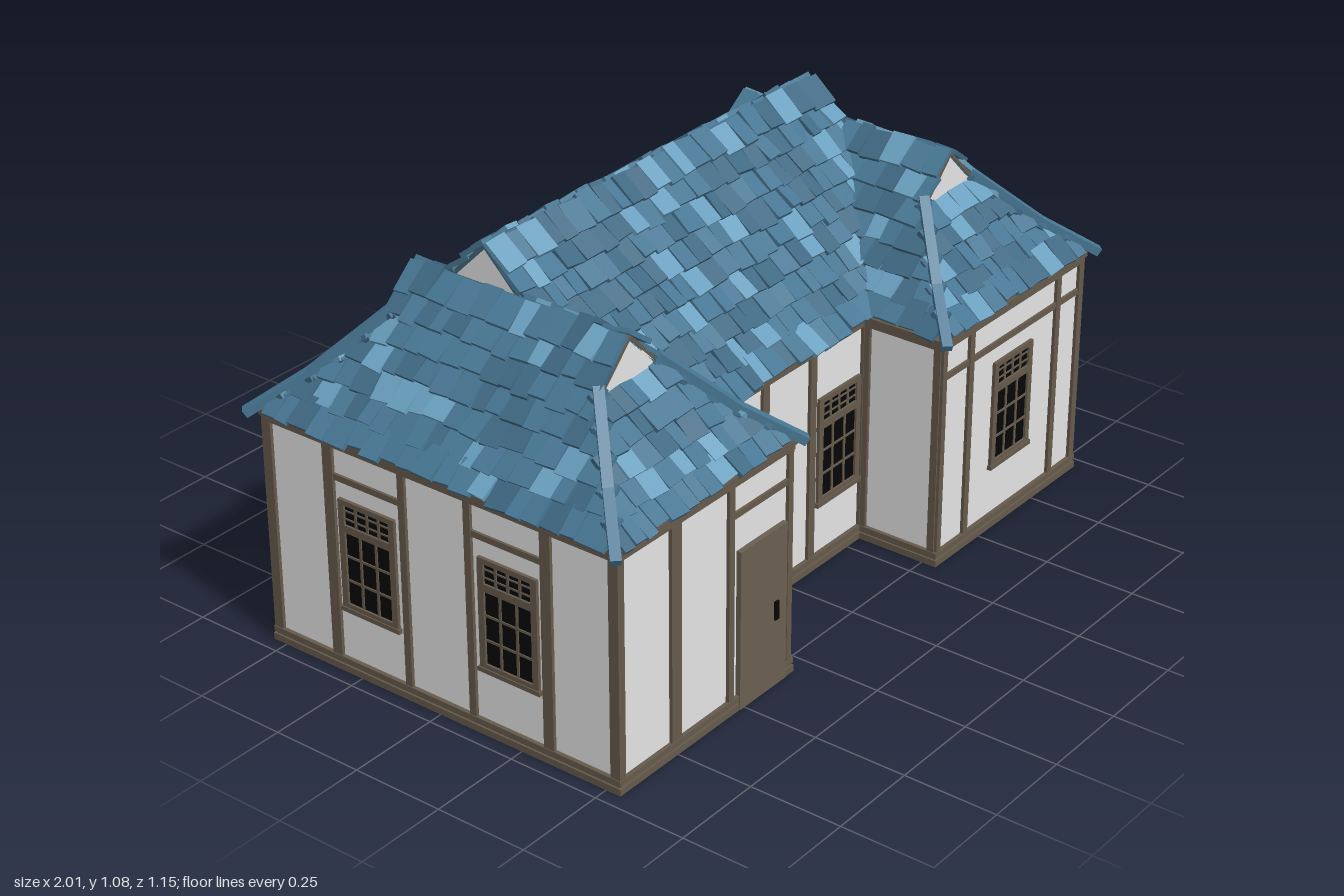
import * as THREE from 'three';
import { mergeGeometries } from 'three/addons/utils/BufferGeometryUtils.js';

const mat = (name, color) => Object.assign(new THREE.MeshStandardMaterial({ color }), { name });
const M = {
  plaster: mat('plaster', 0xe4e4e4),
  timber: mat('timber', 0x665b4c),
  door: mat('door wood', 0x6a6051),
  glass: mat('dark glass', 0x060606),
  tileMid: mat('blue tile', 0x477693),
  tileLight: mat('light blue tile', 0x699fbe),
  tileDark: mat('dark blue tile', 0x3e6882),
};

let seed = 7;
const rnd = () => (seed = (seed * 16807) % 2147483647) / 2147483647;
const jit = (a) => (rnd() - 0.5) * 2 * a;

function addMesh(parent, geo, material, name) {
  const m = new THREE.Mesh(geo, material);
  m.name = name;
  parent.add(m);
  return m;
}

// Box with its centre, size and optional lean in the wall plane
function bar(x, y, w, h, d, lean = 0, z = 0) {
  return new THREE.BoxGeometry(w, h, d).rotateZ(lean).translate(x, y, z);
}

// Bar between two points of a wall
function brace(x0, y0, x1, y1, w, d) {
  const len = Math.hypot(x1 - x0, y1 - y0);
  return bar((x0 + x1) / 2, (y0 + y1) / 2, w, len, d, Math.atan2(x0 - x1, y1 - y0));
}

// U-shaped plan, counter-clockwise, grown outward by o; shape y is -z
function plan(o, Type = THREE.Shape) {
  const X = 0.95 + o, Z = 0.53 + o, xi = 0.315 - o, zi = 0.295 + o;
  return new Type([[-X, Z], [-X, -Z], [-xi, -Z], [-xi, -zi], [xi, -zi], [xi, -Z], [X, -Z], [X, Z]]
    .map(([x, y]) => new THREE.Vector2(x, y)));
}

function planSlab(o, y0, y1, hollow) {
  const s = plan(o);
  if (hollow) s.holes.push(plan(-0.012, THREE.Path));
  return new THREE.ExtrudeGeometry(s, { depth: y1 - y0, bevelEnabled: false }).rotateX(-Math.PI / 2).translate(0, y0, 0);
}

// Group standing on a wall surface, local x along the wall and z outward
function wallFace(parent, name, x, z, rot) {
  const g = new THREE.Group();
  g.name = name;
  g.position.set(x, 0, z);
  g.rotation.y = rot;
  parent.add(g);
  return g;
}

const post = (u, w, y0 = 0.03, y1 = 0.615) => bar(u, (y0 + y1) / 2, w, y1 - y0, 0.018);
const rail = (u0, u1, y, w = 0.016) => bar((u0 + u1) / 2, y, u1 - u0, w, 0.014);

function timbers(face, parts) {
  addMesh(face, mergeGeometries(parts), M.timber, 'timberFrame');
}

// Window with a lattice transom above a three-by-three sash, seen from both sides of the wall
function addWindow(face, u) {
  const g = new THREE.Group();
  g.name = 'window';
  g.position.set(u, 0, -0.006);
  face.add(g);
  addMesh(g, bar(0, 0.328, 0.165, 0.28, 0.018), M.glass, 'glass');
  const f = [bar(0, 0.178, 0.186, 0.012, 0.036), bar(0, 0.188, 0.175, 0.014, 0.03),
    bar(0, 0.47, 0.175, 0.014, 0.03), bar(0, 0.4, 0.175, 0.02, 0.03)];
  for (const s of [-1, 1]) {
    f.push(bar(s * 0.079, 0.328, 0.018, 0.29, 0.03), bar(s * 0.025, 0.295, 0.007, 0.2, 0.024));
    f.push(bar(0, 0.292 + s * 0.033, 0.16, 0.006, 0.024), bar(s * 0.036, 0.437, 0.007, 0.06, 0.024));
  }
  f.push(bar(0, 0.437, 0.007, 0.06, 0.024), bar(0, 0.426, 0.16, 0.004, 0.024), bar(0, 0.448, 0.16, 0.004, 0.024));
  addMesh(g, mergeGeometries(f), M.timber, 'windowFrame');
}

// Roof constants: every slope rises one unit per unit inward, with a slight sag near the eave
const EAVE = 0.625, LIP = 0.018, WX = 0.64, WH = 0.34, GABLE = 0.23, MZ = -0.11, MH = 0.44, MX = 0.635;
const sag = (d) => -0.016 * Math.sin(Math.PI * Math.min(d / 0.25, 1));

// Tiled slope: rows run up from the eave, range(d) gives the row ends at inset d
function tiledSlope(parent, name, x, z, rot, d0, d1, range) {
  const bins = { tileMid: [], tileLight: [], tileDark: [] };
  const rows = Math.round((d1 - d0) / 0.049), step = (d1 - d0) / rows, R2 = Math.SQRT2;
  for (let r = 0; r < rows; r++) {
    const d = d0 + (r + 0.5) * step, [a, b] = range(d);
    if (b - a < 0.015) continue;
    const len = step * R2, last = r === rows - 1 && d1 > 0.3, y = sag(d);
    bins.tileDark.push(new THREE.BoxGeometry(b - a, 0.008, len + 0.006).translate((a + b) / 2, y - 0.004, -d * R2));
    let u = a - 0.006;
    while (u < b - 0.005) {
      let w = 0.036 + rnd() * 0.034;
      if (b - u - w < 0.02) w = b - u + 0.006;
      const l = len + 0.016 + jit(0.007);
      const t = new THREE.BoxGeometry(w - 0.002, 0.012, l).rotateY(jit(0.08)).rotateZ(jit(0.09)).rotateX(-0.13 + jit(0.06));
      t.translate(u + w / 2, y + (last ? 0.013 : 0.009) + jit(0.003), -d * R2 + 0.007 + jit(0.006));
      const k = rnd();
      bins[k < 0.17 ? 'tileLight' : k < 0.45 ? 'tileDark' : 'tileMid'].push(t);
      u += w;
    }
  }
  const g = new THREE.Group();
  g.name = name;
  g.position.set(x, EAVE, z);
  g.rotation.set(Math.PI / 4, rot, 0, 'YXZ');
  parent.add(g);
  for (const k in bins) if (bins[k].length) addMesh(g, mergeGeometries(bins[k]), M[k], 'tiles');
}

// Two-piece cap sagging along a hip; sx and sz point to the corner from the hip's top
function hipCap(parent, x, z, sx, sz) {
  const pts = [[-0.008, 0.634], [0.1, 0.727], [0.235, 0.876]].map(([d, y]) =>
    new THREE.Vector3(x - sx * d, y, z - sz * d));
  for (let i = 0; i < 2; i++) {
    const m = addMesh(parent, new THREE.BoxGeometry(0.026, 0.022, pts[i].distanceTo(pts[i + 1]) + 0.006), M.tileMid, 'hipCap');
    m.position.copy(pts[i]).lerp(pts[i + 1], 0.5);
    m.lookAt(pts[i + 1]);
  }
}

// Gable triangle with thin rake boards, facing local +z
function gable(parent, x, y, z, rot, half) {
  const g = wallFace(parent, 'gable', x, z, rot);
  g.position.y = y;
  const s = new THREE.Shape([new THREE.Vector2(-half, 0), new THREE.Vector2(half, 0), new THREE.Vector2(0, half)]);
  addMesh(g, new THREE.ExtrudeGeometry(s, { depth: 0.008, bevelEnabled: false }), M.plaster, 'gablePanel');
  addMesh(g, mergeGeometries([brace(-half, 0, 0, half, 0.008, 0.022), brace(half, 0, 0, half, 0.008, 0.022)]), M.timber, 'rakeBoards');
}

export function createModel() {
  const house = new THREE.Group();
  house.name = 'house';
  const H = Math.PI / 2;

  // Walls, sill beams and the eave beam that also closes the ceiling
  addMesh(house, planSlab(0, 0, 0.62, true), M.plaster, 'walls');
  addMesh(house, planSlab(0.012, 0, 0.018, true), M.timber, 'lowerSill');
  addMesh(house, planSlab(0.007, 0.018, 0.024, true), M.timber, 'sillGroove');
  addMesh(house, planSlab(0.011, 0.024, 0.038, true), M.timber, 'upperSill');
  addMesh(house, planSlab(0.009, 0.608, 0.622, false), M.timber, 'ceilingBeam');
  addMesh(house, planSlab(0.013, 0.622, 0.637, false), M.timber, 'eaveBeam');

  // Front faces
  const left = wallFace(house, 'doorWingFront', 0, 0.53, 0);
  timbers(left, [post(-0.948, 0.022), post(-0.75, 0.036), post(-0.545, 0.02), post(-0.319, 0.018), rail(-0.54, -0.32, 0.53)]);
  addMesh(left, bar(-0.427, 0.215, 0.18, 0.43, 0.027), M.door, 'door');
  addMesh(left, bar(-0.38, 0.21, 0.014, 0.05, 0.008, 0, 0.015), M.glass, 'doorHandle');
  const right = wallFace(house, 'windowWingFront', 0, 0.53, 0);
  timbers(right, [post(0.948, 0.022), post(0.84, 0.02), post(0.44, 0.02), post(0.319, 0.018), rail(0.32, 0.94, 0.53)]);
  addWindow(right, 0.638);
  const middle = wallFace(house, 'recessFront', 0, 0.295, 0);
  timbers(middle, [post(-0.1, 0.025), post(0.095, 0.025), post(-0.31, 0.012), post(0.31, 0.012)]);
  addWindow(middle, -0.213);
  addWindow(middle, 0.21);

  // Inner wing faces
  for (const s of [-1, 1]) {
    const f = wallFace(house, 'wingInnerSide', s * 0.315, 0, -s * H);
    timbers(f, [post(s * 0.521, 0.02), post(s * 0.31, 0.02)]);
  }

  // Outer sides
  const sideR = wallFace(house, 'rightSide', 0.95, 0, H);
  timbers(sideR, [post(-0.525, 0.024), post(-0.32, 0.042), post(-0.195, 0.018), post(0.203, 0.018),
    post(0.308, 0.022), post(0.331, 0.016), post(0.523, 0.024), rail(-0.3, 0.3, 0.525)]);
  addWindow(sideR, 0);
  const sideL = wallFace(house, 'leftSide', -0.95, 0, -H);
  timbers(sideL, [post(-0.523, 0.024), post(-0.33, 0.03), post(-0.1, 0.02), post(0.1, 0.02),
    post(0.33, 0.03), post(0.523, 0.024), rail(-0.33, -0.1, 0.53), rail(0.1, 0.33, 0.53)]);
  addWindow(sideL, -0.215);
  addWindow(sideL, 0.215);

  // Back with paired diagonal braces
  const back = wallFace(house, 'backSide', 0, -0.53, Math.PI);
  const parts = [post(0, 0.02), rail(-0.95, 0.95, 0.5), rail(-0.95, 0.95, 0.21)];
  for (const s of [-1, 1]) {
    parts.push(post(s * 0.948, 0.022), post(s * 0.745, 0.022), post(s * 0.315, 0.026));
    parts.push(brace(s * 0.93, 0.61, s * 0.78, 0.03, 0.024, 0.016));
    for (const t of [-1, 1]) parts.push(brace(s * 0.315 + t * 0.02, 0.61, s * 0.315 + t * 0.165, 0.03, 0.024, 0.016));
  }
  timbers(back, parts);

  // Main roof
  const roof = new THREE.Group();
  roof.name = 'roof';
  house.add(roof);
  tiledSlope(roof, 'mainBackSlope', 0, -0.55, Math.PI, LIP, MH, (d) => {
    const e = d < GABLE ? 0.98 - d : MX;
    return [-e, e];
  });
  tiledSlope(roof, 'mainFrontSlope', 0, 0.33, 0, LIP, MH, (d) => {
    const e = Math.min(0.3 + d, MX);
    return [-e, e];
  });

  // Wing roofs with hipped ends and small gables
  for (const s of [-1, 1]) {
    const end = (d) => (d < GABLE ? 0.55 - d : 0.32);
    const along = (a, b) => (s > 0 ? [a, b] : [-b, -a]);
    tiledSlope(roof, 'wingOuterSlope', s * (WX + WH), 0, s * H, LIP, WH, (d) => [-end(d), end(d)]);
    tiledSlope(roof, 'wingHipEnd', s * WX, 0.55, 0, LIP, GABLE + 0.01, (d) => [d - WH, WH - d]);
    tiledSlope(roof, 'wingInnerSlope', s * (WX - WH), 0, -s * H, LIP, WH, (d) => along(0.33 - d, end(d)));
    tiledSlope(roof, 'wingRearSlope', s * (WX - WH), 0, -s * H, GABLE, WH, (d) => along(-0.32, d - 0.55));
    gable(roof, s * WX, EAVE + GABLE, 0.312, 0, 0.11);
    gable(roof, s * WX, EAVE + GABLE, -0.312, Math.PI, 0.11);
    gable(roof, s * (MX - 0.012), 0.955, MZ, s * H, 0.108);
    hipCap(roof, s * 0.98, 0.55, s, 1);
    hipCap(roof, s * 0.98, -0.55, s, -1);
    hipCap(roof, s * 0.3, 0.55, -s, 1);
  }
  return house;
}
